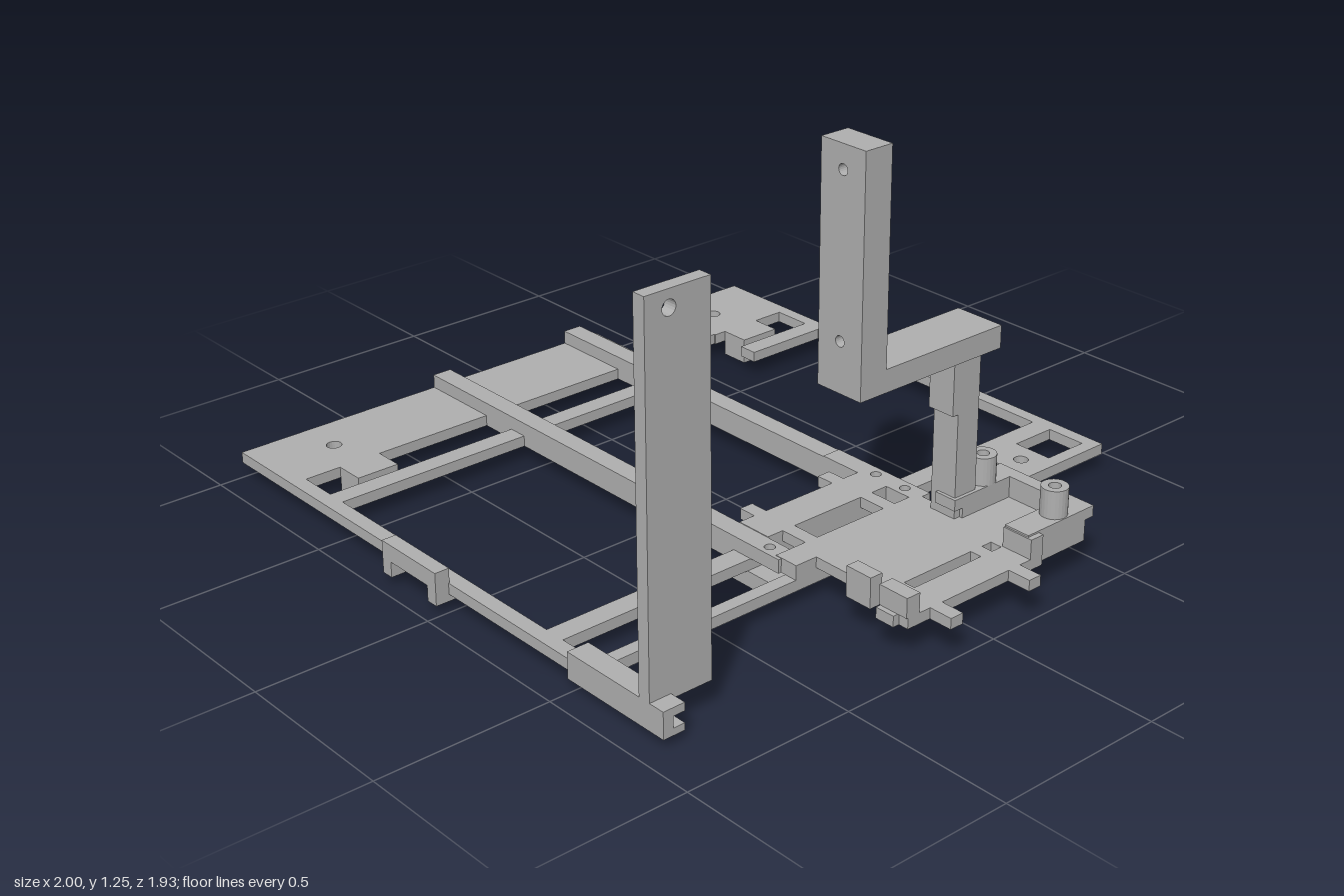
import * as THREE from 'three';

export function createModel() {
  const model = new THREE.Group();
  model.name = 'mountingFrame';
  const grey = new THREE.MeshStandardMaterial({ color: 0xb0b0b0 });
  grey.name = 'plain grey';

  const add = (name, geo) => {
    const mesh = new THREE.Mesh(geo, grey);
    mesh.name = name;
    model.add(mesh);
    return mesh;
  };
  // Box given by its limits on each axis
  const box = (name, x0, x1, y0, y1, z0, z1) =>
    add(name, new THREE.BoxGeometry(x1 - x0, y1 - y0, z1 - z0)
      .translate((x0 + x1) / 2, (y0 + y1) / 2, (z0 + z1) / 2));
  // Rectangle with round holes [u, v, radius], extruded
  const drilled = (u0, u1, v0, v1, depth, holes) => {
    const s = new THREE.Shape([[u0, v0], [u1, v0], [u1, v1], [u0, v1]].map(p => new THREE.Vector2(...p)));
    for (const [u, v, r] of holes) s.holes.push(new THREE.Path().absarc(u, v, r, 0, Math.PI * 2, true));
    return new THREE.ExtrudeGeometry(s, { depth, bevelEnabled: false, curveSegments: 10 });
  };
  // Horizontal drilled plate, holes as [x, z, radius]
  const plate = (name, x0, x1, y0, y1, z0, z1, holes) =>
    add(name, drilled(x0, x1, -z1, -z0, y1 - y0, holes.map(([x, z, r]) => [x, -z, r]))
      .rotateX(-Math.PI / 2).translate(0, y0, 0));

  // Base frame
  const B = 0.05, T = 0.082;
  box('rearBar', -0.74, 0.56, B, T, -0.92, -0.88);
  box('frontBar', -0.74, 0.56, B, T, 0.88, 0.925);
  plate('rearSidePlate', -1, -0.74, B, T, -0.92, -0.61, [[-0.87, -0.715, 0.022]]);
  plate('mainSidePlate', -1, -0.74, B, T, -0.34, 0.925, [[-0.87, 0.705, 0.022]]);
  box('sideLink', -0.76, -0.745, B, T, -0.61, -0.34);
  box('rearSideTab', -0.74, -0.65, 0.005, T, -0.78, -0.65);
  box('frontSideTab', -0.74, -0.65, 0.005, T, 0.64, 0.77);
  box('rearCrossBar', -0.62, -0.56, B, T, -0.88, -0.61);
  box('mainCrossBar', -0.62, -0.56, B, T, -0.34, 0.88);
  box('innerCrossBar', 0.335, 0.4, B, T, -0.88, 0.88);
  box('outerCrossBar', 0.52, 0.56, B, T, -0.88, 0.88);
  for (const z of [-0.675, -0.495])
    plate('drilledTab', 0.4, 0.52, 0.043, T, z - 0.065, z + 0.065, [[0.475, z, 0.021]]);

  // Long rails
  box('rearRail', -1, 0.155, B, 0.122, -0.28, -0.22);
  plate('rearRailEnd', 0.155, 0.505, T, 0.124, -0.28, -0.22, [[0.33, -0.25, 0.015], [0.44, -0.25, 0.015]]);
  box('rearRailLower', 0.155, 0.4, B, T, -0.28, -0.22);
  box('frontRail', -1, 0.335, B, 0.122, 0.21, 0.27);
  plate('frontRailEnd', 0.335, 0.505, T, 0.122, 0.21, 0.27, [[0.44, 0.24, 0.015]]);
  box('frontRailFoot', 0.29, 0.48, 0.005, B, 0.22, 0.28);

  // Edge clips, mirrored front and back
  for (const s of [1, -1]) {
    const clip = (name, x0, x1, y0, y1, a, b) =>
      box(name, x0, x1, y0, y1, Math.min(s * a, s * b), Math.max(s * a, s * b));
    clip('clipBridge', -0.245, -0.01, 0.075, 0.124, 0.922, 0.965);
    for (const x of [-0.245, -0.047]) {
      clip('clipLeg', x, x + 0.037, 0.03, 0.075, 0.922, 0.965);
      clip('clipFoot', x, x + 0.037, 0.03, B, 0.875, 0.922);
    }
  }

  // Front post on a channel that opens towards the frame
  box('channelWall', 0.48, 0.835, 0.03, 0.105, 0.9, 0.93);
  box('channelTop', 0.48, 0.835, 0.082, 0.105, 0.865, 0.9);
  box('channelBottom', 0.48, 0.835, 0.03, B, 0.865, 0.9);
  add('frontPost', drilled(-0.93, -0.74, 0.09, 1.115, 0.038, [[-0.86, 1.07, 0.02]])
    .rotateY(Math.PI / 2).translate(0.748, 0, 0));

  // Stepped arm
  box('armFoot', 0.48, 0.65, 0.005, 0.085, -0.3, -0.2);
  box('armLowerPost', 0.565, 0.65, 0.085, 0.612, -0.297, -0.22);
  box('armThickening', 0.565, 0.65, 0.425, 0.612, -0.22, -0.2);
  box('armShelf', 0.565, 0.715, 0.612, 0.675, -0.297, 0.2);
  add('armUpperPanel', drilled(0.565, 0.715, 0.612, 1.255, 0.087, [[0.64, 1.19, 0.015], [0.64, 0.75, 0.015]])
    .translate(0, 0, 0.113));

  // Carriage of crossed strips
  const C = 0.093, D = 0.124;
  for (const z of [-0.145, 0.137]) box('carriageBeam', 0.235, 1, C, D, z - 0.021, z + 0.021);
  box('carriageInnerStrip', 0.29, 0.4, T, D, -0.22, 0.21);
  box('carriageMiddleStrip', 0.485, 0.56, T, D, -0.25, 0.26);
  box('carriageArmStrip', 0.56, 0.715, C, D, -0.297, 0.19);
  box('carriageWideStrip', 0.715, 0.8, C, D, -0.2, 0.235);
  box('carriageOuterStrip', 0.835, 0.93, C, D, -0.25, 0.235);
  box('carriageOuterTip', 0.84, 0.9, C, D, 0.235, 0.255);
  for (const z of [-0.25, 0.195]) box('outerStop', 0.835, 0.93, D, 0.18, z, z + 0.045);
  box('wideStop', 0.715, 0.8, D, 0.18, 0.195, 0.235);

  // Rear holder tray with two hollow pins
  box('trayFloor', 0.66, 0.835, C, D, -0.435, -0.2);
  box('trayBack', 0.59, 0.915, 0.153, 0.185, -0.46, -0.42);
  box('trayBackWall', 0.66, 0.835, D, 0.153, -0.45, -0.42);
  for (const [x0, x1, px] of [[0.59, 0.66, 0.625], [0.835, 0.915, 0.875]]) {
    box('trayArm', x0, x1, 0.153, 0.185, -0.42, -0.21);
    box('trayArmBase', x0, x1, C, 0.153, -0.43, -0.24);
    const ring = new THREE.Shape().absarc(px, 0.35, 0.037, 0, Math.PI * 2, false);
    ring.holes.push(new THREE.Path().absarc(px, 0.35, 0.017, 0, Math.PI * 2, true));
    add('hollowPin', new THREE.ExtrudeGeometry(ring, { depth: 0.08, bevelEnabled: false, curveSegments: 12 })
      .rotateX(-Math.PI / 2).translate(0, 0.185, 0));
  }
  return model;
}
